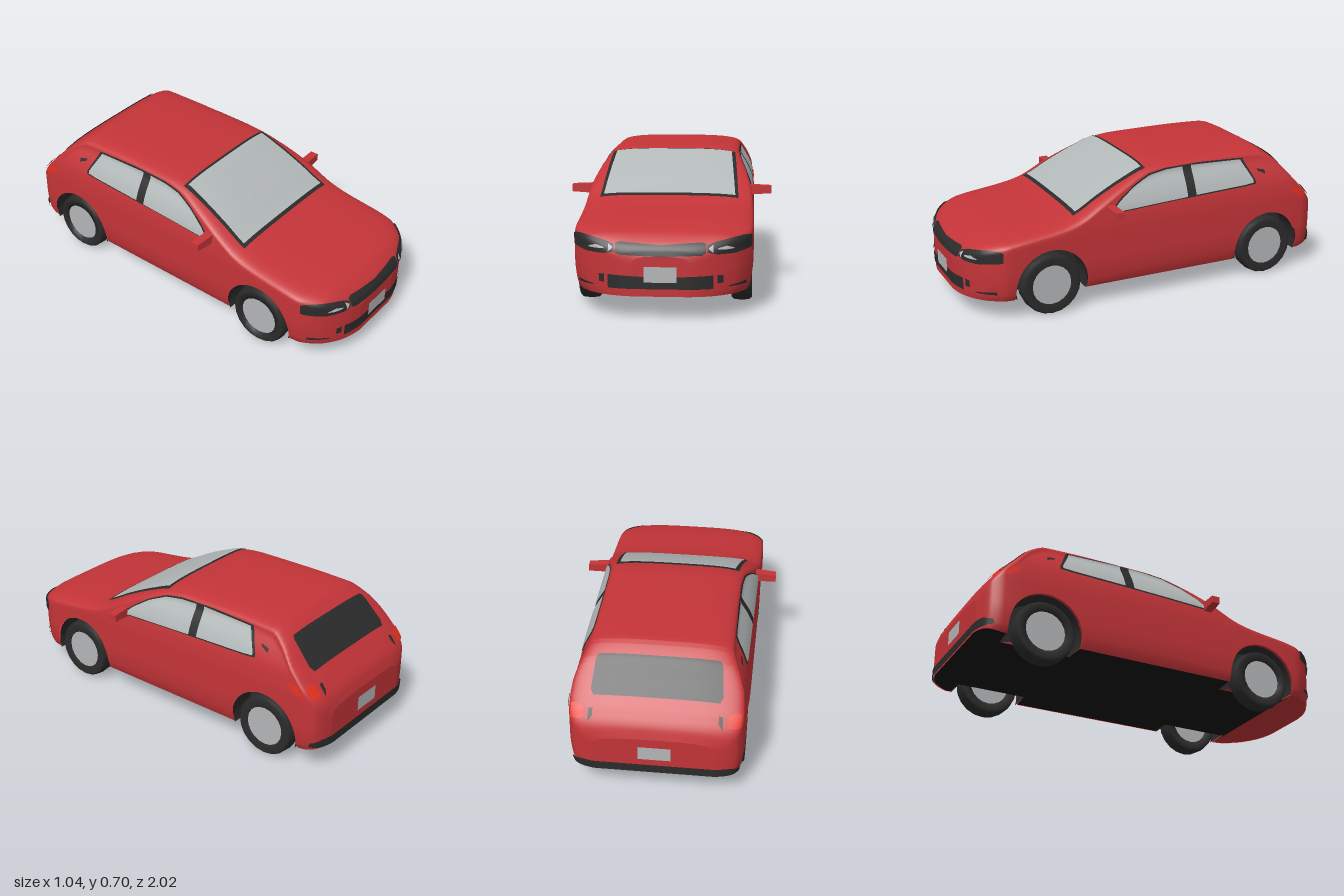
import * as THREE from 'three';

const mat = (name, color, side = THREE.DoubleSide) => new THREE.MeshStandardMaterial({ name, color, side });
const paint = mat('red paint', 0xc43438);
const trim = mat('dark trim', 0x2b2b2b);
const glass = mat('pale glass', 0xb3b8b8);
const metal = mat('light metal', 0xb4b6b8);
const black = mat('underside black', 0x131313);
const lamp = mat('tail lamp red', 0xe2301f);

// Smooth monotone curve through a few [position, value] points
function curve(p) {
  const d = p.slice(1).map((q, i) => (q[1] - p[i][1]) / (q[0] - p[i][0]));
  const m = p.map((_, i) => {
    const a = d[Math.max(0, i - 1)], b = d[Math.min(d.length - 1, i)];
    return a * b <= 0 ? 0 : (2 * a * b) / (a + b);
  });
  return (x) => {
    if (x <= p[0][0]) return p[0][1];
    if (x >= p[p.length - 1][0]) return p[p.length - 1][1];
    let i = 0;
    while (x > p[i + 1][0]) i++;
    const h = p[i + 1][0] - p[i][0], t = (x - p[i][0]) / h, u = 1 - t;
    return (1 + 2 * t) * u * u * p[i][1] + t * u * u * h * m[i]
      + t * t * (3 - 2 * t) * p[i + 1][1] - t * t * u * h * m[i + 1];
  };
}

// Body shape: roof line and plan width along z, side bulge along y
const top = curve([[-1, 0.335], [-0.98, 0.39], [-0.94, 0.445], [-0.9, 0.49], [-0.83, 0.565], [-0.747, 0.65],
  [-0.66, 0.697], [-0.4, 0.705], [-0.1, 0.702], [0, 0.69], [0.14, 0.637], [0.28, 0.57], [0.42, 0.497],
  [0.5, 0.475], [0.8, 0.432], [0.9, 0.405], [0.96, 0.365], [0.99, 0.33], [1, 0.3]]);
const width = curve([[-1, 0.3], [-0.985, 0.36], [-0.96, 0.4], [-0.9, 0.425], [-0.8, 0.43], [0.7, 0.43], [0.8, 0.425],
  [0.85, 0.402], [0.9, 0.365], [0.94, 0.315], [0.97, 0.26], [0.99, 0.2], [1, 0.14]]);
const bulge = curve([[0.1, 0.4], [0.14, 0.42], [0.25, 0.432], [0.4, 0.43], [0.5, 0.418], [0.56, 0.397],
  [0.64, 0.352], [0.7, 0.315]]);
const ROUND = 0.06, POWER = 3.3;
const WHEELS = [0.57, -0.68], WHEEL_Y = 0.16, ARCH = 0.192, SILL = 0.11;

function halfWidth(z, y) {
  const t = top(z), s = t - ROUND;
  if (y > t) return -1;
  const k = width(z) / 0.43;
  return y <= s ? bulge(y) * k : bulge(s) * k * (1 - ((y - s) / ROUND) ** POWER) ** (1 / POWER);
}
const inside = (x, y, z) => Math.abs(z) <= 1 && Math.abs(x) <= halfWidth(z, y);

function sill(z) {
  for (const c of WHEELS) {
    const d = Math.abs(z - c);
    if (d <= ARCH + 1e-6) return WHEEL_Y + Math.sqrt(Math.max(0, ARCH * ARCH - d * d));
  }
  return SILL + (z < -0.9 ? (-0.9 - z) * 0.25 : 0);
}

// Surface from a grid of points
function grid(rows) {
  const n = rows[0].length, index = [];
  for (let i = 0; i < rows.length - 1; i++) {
    for (let j = 0; j < n - 1; j++) {
      const a = i * n + j, b = a + n;
      index.push(a, a + 1, b, a + 1, b + 1, b);
    }
  }
  const g = new THREE.BufferGeometry();
  g.setAttribute('position', new THREE.Float32BufferAttribute(rows.flat(2), 3));
  g.setIndex(index);
  g.computeVertexNormals();
  return g;
}

function bodyShell() {
  const zs = [];
  for (let z = -0.9; z < 0.901; z += 0.02) zs.push(z);
  for (let k = 0; k < 20; k++) zs.push(0.905 + k * 0.005, -0.905 - k * 0.005);
  for (const c of WHEELS) {
    for (let k = 0; k <= 24; k++) zs.push(c + ARCH * Math.cos((k * Math.PI) / 24));
    zs.push(c - ARCH - 0.001, c + ARCH + 0.001);
  }
  zs.sort((a, b) => a - b);
  const section = (z) => {
    const b = sill(z), s = top(z) - ROUND, half = [];
    for (let j = 0; j < 16; j++) {
      const y = b + ((s - b) * j) / 16;
      half.push([halfWidth(z, y), y, z]);
    }
    const h = halfWidth(z, s);
    for (let j = 0; j <= 16; j++) {
      const a = (j / 16) * Math.PI / 2, e = 2 / POWER;
      half.push([j === 16 ? 0 : h * Math.cos(a) ** e, s + ROUND * Math.sin(a) ** e, z]);
    }
    return [...half, ...half.slice(0, -1).reverse().map(([x, y, w]) => [-x, y, w])];
  };
  const closed = (z) => section(z).map(([, y, w]) => [0, y, w]);
  return grid([closed(-1), ...[-1, ...zs, 1].map(section), closed(1)]);
}

// Thin panel laid on the body. rows are [u, vLow, vHigh]:
// side: u = z, v = y; front/rear: u = x, v = y; top: u = z, v = x
function panel(dir, rows, lift, sx = 1) {
  const place = (u, v) => {
    const at = (t) => dir === 'side' ? [sx * t * 0.5, v, u]
      : dir === 'top' ? [v, 0.3 + t * 0.45, u] : [sx * u, v, (dir === 'front' ? 1 : -1) * t];
    let lo = 0, hi = 1.001;
    for (let i = 0; i < 26; i++) {
      const m = (lo + hi) / 2;
      if (inside(...at(m))) lo = m; else hi = m;
    }
    const [x, y, z] = at(lo);
    const dz = dir === 'front' ? 1 : dir === 'rear' ? -1 : 0;
    return [x + lift * x / 0.43, y + lift * (dir === 'top' ? 1 : 0.3), z + lift * dz];
  };
  const out = [];
  rows.slice(1).forEach((r, i) => {
    const q = rows[i], n = Math.max(3, Math.ceil(Math.abs(r[0] - q[0]) / 0.015));
    for (let k = i ? 1 : 0; k <= n; k++) {
      const [u, a, b] = q.map((v, c) => v + ((r[c] - v) * k) / n);
      out.push(Array.from({ length: 13 }, (_, j) => place(u, a + ((b - a) * j) / 12)));
    }
  });
  return grid(out);
}

export function createModel() {
  const car = new THREE.Group();
  car.name = 'hatchback';
  const add = (name, geometry, material, parent = car) => {
    const m = new THREE.Mesh(geometry, material);
    m.name = name;
    parent.add(m);
    return m;
  };
  add('bodyShell', bodyShell(), paint);

  // Underside, notched round the wheels
  const floor = (z0, z1) => {
    const rows = [];
    for (let k = 0; k <= 200; k++) {
      const z = z0 + ((z1 - z0) * k) / 200;
      const w = WHEELS.some((c) => Math.abs(z - c) < ARCH) ? 0.29 : halfWidth(z, SILL) - 0.002;
      const y = Math.abs(z) > 0.9 ? sill(z) + 0.002 : SILL + 0.002;
      rows.push([[-w, y, z], [w, y, z]]);
    }
    return grid(rows);
  };
  add('floor', floor(-1, 0.77), black);
  add('frontUndertray', floor(0.77, 1), paint);

  // Windscreen and rear window
  add('windscreenFrame', panel('top', [[0.425, -0.35, 0.35], [0.01, -0.325, 0.325]], 0.004), trim);
  add('windscreen', panel('top', [[0.408, -0.33, 0.33], [0.025, -0.303, 0.303]], 0.008), glass);
  add('rearWindow', panel('top', [[-0.75, -0.29, 0.29], [-0.765, -0.302, 0.302], [-0.87, -0.315, 0.315],
    [-0.89, -0.3, 0.3]], 0.006), trim);

  // Grille, lower intake and number plates
  add('grille', panel('front', [[-0.21, 0.315, 0.355], [-0.19, 0.305, 0.362], [0, 0.298, 0.35], [0.19, 0.305, 0.362],
    [0.21, 0.315, 0.355]], 0.005), trim);
  add('lowerIntake', panel('front', [[-0.245, 0.145, 0.21], [0, 0.145, 0.2], [0.245, 0.145, 0.21]], 0.004), trim);
  add('frontPlate', panel('front', [[-0.075, 0.176, 0.25], [0.075, 0.176, 0.25]], 0.009), metal);
  add('rearPlate', panel('rear', [[-0.078, 0.215, 0.29], [0.078, 0.215, 0.29]], 0.007), metal);
  add('rearBumperStrip', panel('rear', [[-0.405, 0.14, 0.165], [-0.36, 0.135, 0.18], [0.36, 0.135, 0.18],
    [0.405, 0.14, 0.165]], 0.006), trim);

  for (const s of [1, -1]) {
    const side = new THREE.Group();
    side.name = s > 0 ? 'leftSide' : 'rightSide';
    car.add(side);
    const put = (name, dir, rows, lift, m) => add(name, panel(dir, rows, lift, s), m, side);

    // Side windows with a dark surround
    put('windowSurround', 'side', [[0.25, 0.485, 0.5], [0.19, 0.49, 0.552], [0.1, 0.494, 0.608], [0, 0.499, 0.65],
      [-0.1, 0.503, 0.664], [-0.3, 0.51, 0.667], [-0.555, 0.518, 0.657], [-0.61, 0.523, 0.54]], 0.003, trim);
    put('frontSideWindow', 'side', [[0.238, 0.492, 0.5], [0.19, 0.495, 0.543], [0.1, 0.499, 0.6], [0, 0.504, 0.642],
      [-0.1, 0.508, 0.656], [-0.195, 0.512, 0.659]], 0.007, glass);
    put('rearSideWindow', 'side', [[-0.245, 0.515, 0.66], [-0.54, 0.525, 0.65], [-0.595, 0.53, 0.545]], 0.007, glass);
    put('quarterTrim', 'side', [[-0.63, 0.585, 0.595], [-0.675, 0.565, 0.585]], 0.004, trim);

    // Lamps
    put('headlamp', 'front', [[0.215, 0.318, 0.35], [0.26, 0.308, 0.365], [0.34, 0.308, 0.38], [0.38, 0.315, 0.385],
      [0.41, 0.32, 0.382], [0.42, 0.325, 0.375]], 0.006, trim);
    put('headlampReflector', 'front', [[0.22, 0.333, 0.338], [0.24, 0.316, 0.352]], 0.009, metal);
    put('headlampGlint', 'front', [[0.26, 0.33, 0.335], [0.3, 0.328, 0.345], [0.335, 0.33, 0.335]], 0.009, metal);
    put('bumperSlot', 'front', [[0.262, 0.17, 0.21], [0.288, 0.172, 0.208]], 0.005, trim);
    put('bumperVent', 'front', [[0.315, 0.15, 0.155], [0.395, 0.15, 0.166]], 0.005, trim);
    put('tailLamp', 'rear', [[0.345, 0.41, 0.455], [0.38, 0.405, 0.465], [0.405, 0.405, 0.46]], 0.006, lamp);
    put('tailLampSide', 'side', [[-0.83, 0.45, 0.468], [-0.87, 0.42, 0.468], [-0.91, 0.408, 0.425]], 0.006, lamp);
    put('tailLampEdge', 'rear', [[0.3, 0.425, 0.455], [0.32, 0.4, 0.45]], 0.005, trim);

    // Door mirror, narrowing outwards
    const mirror = new THREE.BoxGeometry(0.11, 0.05, 0.045);
    const p = mirror.attributes.position;
    for (let i = 0; i < p.count; i++) {
      if (p.getX(i) > 0) p.setXYZ(i, p.getX(i), p.getY(i) * 0.75, p.getZ(i) - 0.008);
    }
    mirror.scale(s, 1, 1);
    if (s < 0) mirror.setIndex([...mirror.index.array].reverse());
    mirror.computeVertexNormals();
    add('doorMirror', mirror, paint, side).position.set(s * 0.465, 0.507, 0.245);

    // Wheels in dark arches
    for (const z of WHEELS) {
      const wheel = new THREE.Group();
      wheel.name = z > 0 ? 'frontWheel' : 'rearWheel';
      wheel.position.set(s * 0.375, WHEEL_Y, z);
      side.add(wheel);
      const profile = [[0.105, -0.042], [0.145, -0.05], [0.156, -0.038], [0.16, 0], [0.156, 0.038], [0.145, 0.05],
        [0.105, 0.042], [0.105, -0.042]].map(([r, w]) => new THREE.Vector2(r, w));
      add('tyre', new THREE.LatheGeometry(profile, 20).rotateZ(Math.PI / 2), trim, wheel);
      add('hub', new THREE.CylinderGeometry(0.106, 0.106, 0.076, 20).rotateZ(Math.PI / 2), metal, wheel);
      const liner = new THREE.CylinderGeometry(ARCH, ARCH, 0.125, 24, 1, true, -0.26, Math.PI + 0.52);
      add('archLiner', liner.rotateZ(Math.PI / 2), trim, wheel).position.x = s * -0.0225;
      const wall = new THREE.CircleGeometry(ARCH, 24, -0.26, Math.PI + 0.52).rotateY(Math.PI / 2);
      add('archWall', wall, trim, wheel).position.x = s * -0.085;
    }
  }
  return car;
}
